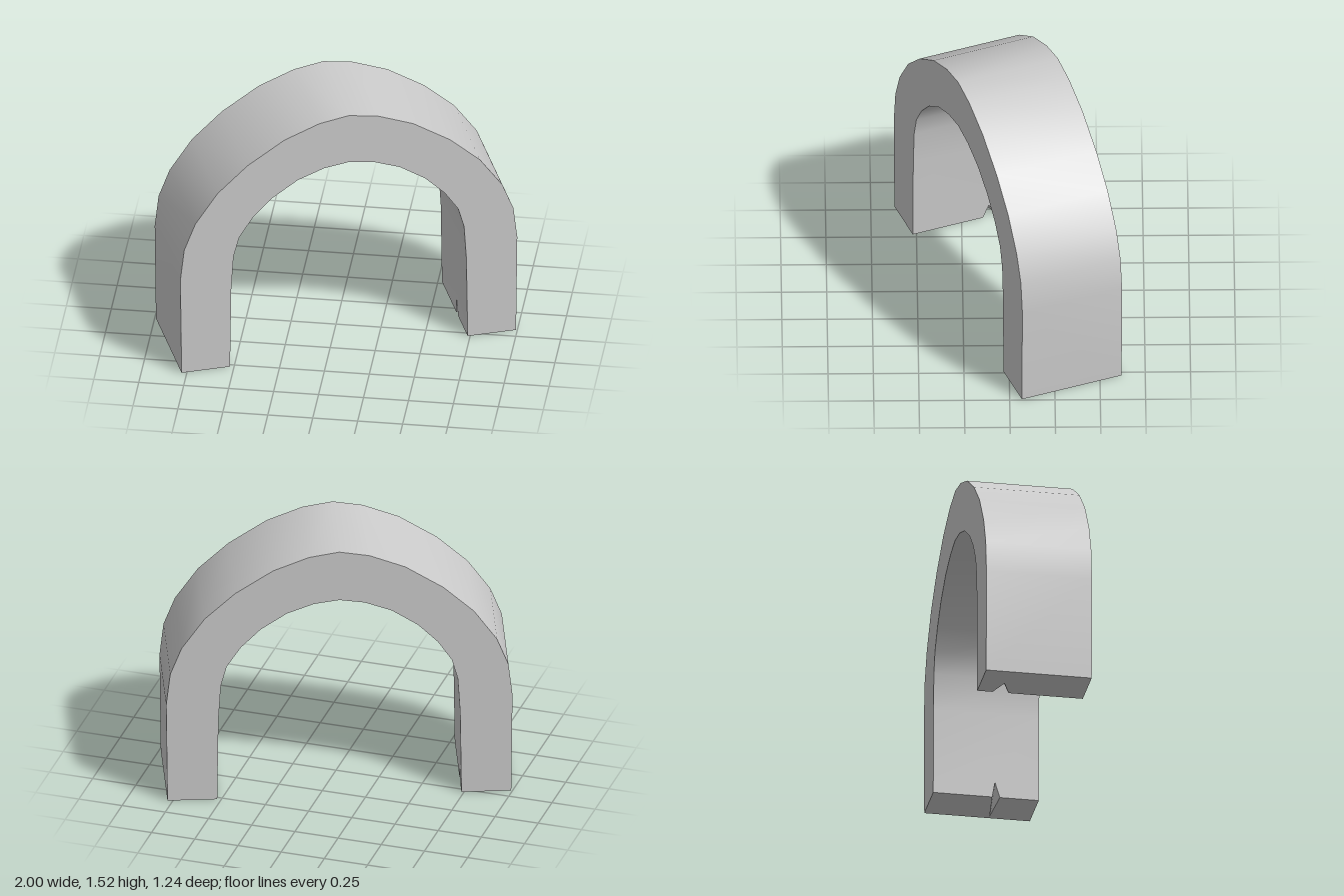
import * as THREE from 'three';
import { toCreasedNormals } from 'three/addons/utils/BufferGeometryUtils.js';

const HALF_DEPTH = 0.296;

// Half profiles (x, y) from crown to foot; the other half is mirrored
const OUTER = [[0, 1.525], [0.167, 1.497], [0.365, 1.42], [0.575, 1.285], [0.745, 1.13],
  [0.872, 0.95], [0.935, 0.79], [0.957, 0.6], [0.95, 0]];
const INNER = [[0, 1.225], [0.14, 1.205], [0.29, 1.15], [0.435, 1.055], [0.545, 0.945],
  [0.622, 0.83], [0.655, 0.71], [0.668, 0.5], [0.675, 0]];

// Chip in the inner bottom edge of each foot: z range, peak z and height, tip z and depth
const CHIPS = [
  { side: 1, z0: 0.035, z1: 0.078, peakZ: 0.05, height: 0.09, tipZ: 0.066, depth: 0.25 },
  { side: -1, z0: -0.21, z1: -0.12, peakZ: -0.155, height: 0.076, tipZ: -0.165, depth: 0.12 },
];

const V = (x, y, z) => new THREE.Vector3(x, y, z);

export function createModel() {
  const positions = [];

  // Adds a triangle turned to face the outward direction
  function tri(a, b, c, out) {
    const n = b.clone().sub(a).cross(c.clone().sub(a));
    const order = n.dot(out) < 0 ? [a, c, b] : [a, b, c];
    order.forEach((p) => positions.push(p.x, p.y, p.z));
  }

  // Adds a flat polygon, given in 2D and placed by a map
  function polygon(points, place, out) {
    const contour = points.map(([x, y]) => new THREE.Vector2(x, y));
    for (const f of THREE.ShapeUtils.triangulateShape(contour, [])) {
      tri(...f.map((i) => place(contour[i].x, contour[i].y)), out);
    }
  }

  // Adds a band of quads running the full depth along a profile
  function band(profile, side, facing) {
    for (let i = 0; i < profile.length - 1; i++) {
      const [x0, y0] = profile[i];
      const [x1, y1] = profile[i + 1];
      const out = V(side * (x0 + x1), y0 + y1 - 0.4, 0).multiplyScalar(facing);
      const a = V(side * x0, y0, HALF_DEPTH), b = V(side * x1, y1, HALF_DEPTH);
      const c = V(side * x1, y1, -HALF_DEPTH), d = V(side * x0, y0, -HALF_DEPTH);
      tri(a, b, c, out);
      tri(a, c, d, out);
    }
  }

  const [footInX] = INNER[INNER.length - 1];
  const [kneeX, kneeY] = INNER[INNER.length - 2];
  const [footOutX] = OUTER[OUTER.length - 1];
  const D = HALF_DEPTH;

  for (const { side, z0, z1, peakZ, height, tipZ, depth } of CHIPS) {
    // Curved outside and inside; the lowest inner panel is made separately
    band(OUTER, side, 1);
    band(INNER.slice(0, -1), side, -1);

    // Front and back faces
    for (const face of [1, -1]) {
      polygon([...OUTER, ...INNER.slice().reverse()],
        (x, y) => V(side * x, y, face * D), V(0, 0, face));
    }

    // Lowest inner panel with the chip cut out
    const innerX = (y) => footInX + (kneeX - footInX) * y / kneeY;
    polygon([[-D, 0], [z0, 0], [peakZ, height], [z1, 0], [D, 0], [D, kneeY], [-D, kneeY]],
      (z, y) => V(side * innerX(y), y, z), V(-side, 0, 0));

    // Sole with the chip cut out
    polygon([[footInX, -D], [footInX, z0], [footInX + depth, tipZ], [footInX, z1],
      [footInX, D], [footOutX, D], [footOutX, -D]],
    (x, z) => V(side * x, 0, z), V(0, -1, 0));

    // Two walls of the chip
    const peak = V(side * innerX(height), height, peakZ);
    const tip = V(side * (footInX + depth), 0, tipZ);
    tri(peak, tip, V(side * footInX, 0, z0), V(0, 0, 1));
    tri(peak, tip, V(side * footInX, 0, z1), V(0, 0, -1));
  }

  const geometry = new THREE.BufferGeometry();
  geometry.setAttribute('position', new THREE.Float32BufferAttribute(positions, 3));

  const arch = new THREE.Mesh(toCreasedNormals(geometry, 0.6),
    new THREE.MeshStandardMaterial({ color: 0xcccccc }));
  arch.name = 'arch';
  arch.rotation.y = THREE.MathUtils.degToRad(21.2);

  const group = new THREE.Group();
  group.name = 'stoneArch';
  group.add(arch);
  return group;
}
